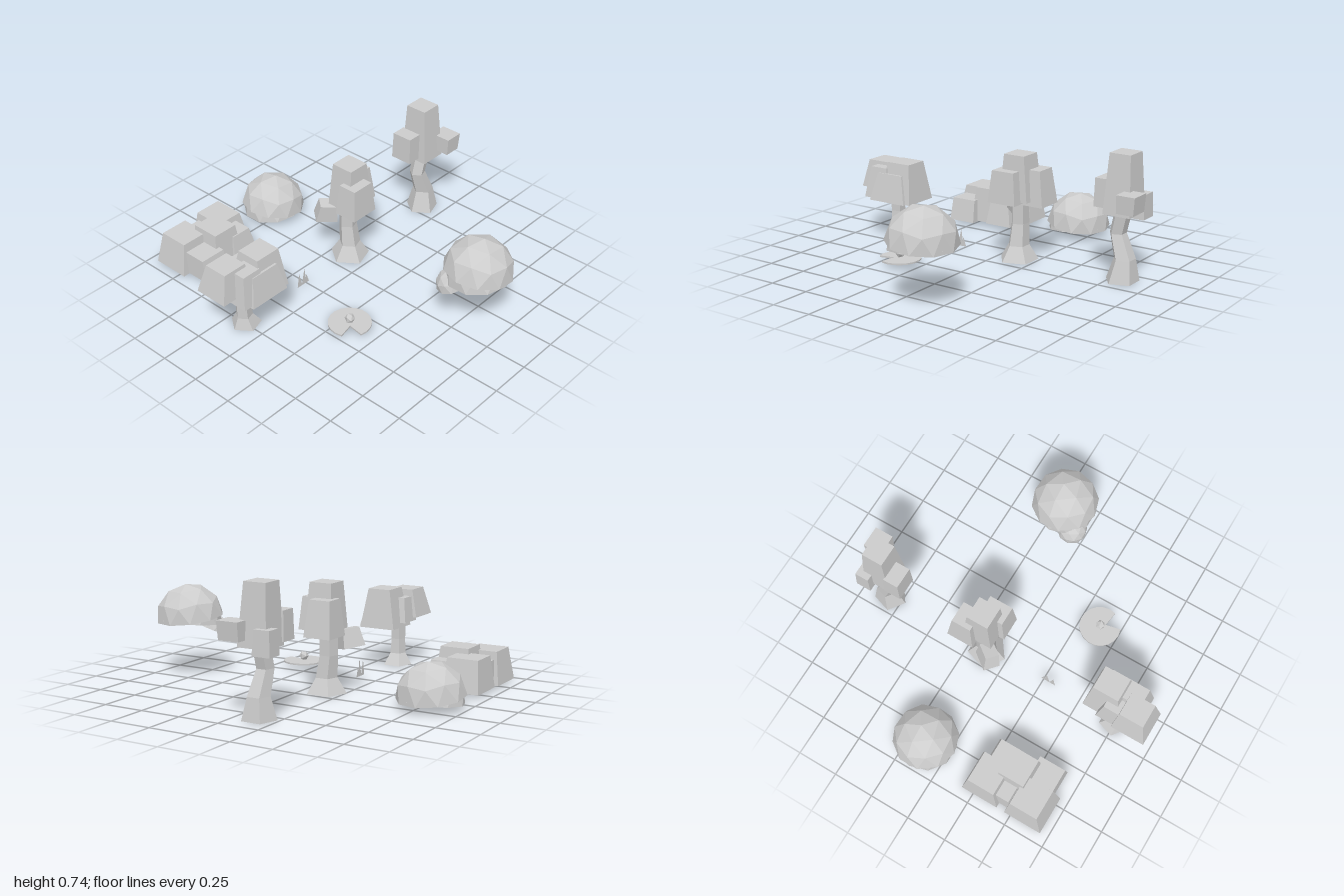
import * as THREE from 'three';

const mat = new THREE.MeshStandardMaterial({ color: 0xcccccc, flatShading: true, side: THREE.DoubleSide });

function add(parent, name, geometry) {
  const mesh = new THREE.Mesh(geometry, mat);
  mesh.name = name;
  parent.add(mesh);
  return mesh;
}

// Tapered block, open below: bottom and top rectangles (x0, x1, z0, z1) and heights
function block([bottom, top, y0, y1]) {
  const geo = new THREE.BoxGeometry(1, 1, 1);
  const index = Array.from(geo.index.array);
  index.splice(18, 6);
  geo.setIndex(index);
  geo.clearGroups();
  const p = geo.attributes.position;
  for (let i = 0; i < p.count; i++) {
    const up = p.getY(i) > 0;
    const r = up ? top : bottom;
    p.setXYZ(i, p.getX(i) < 0 ? r[0] : r[1], up ? y1 : y0, p.getZ(i) < 0 ? r[2] : r[3]);
  }
  geo.computeVertexNormals();
  return geo;
}

// Five-sided bent open trunk through rings of [x, y, z, radius]
function trunk(rings) {
  const geo = new THREE.CylinderGeometry(1, 1, 1, 5, rings.length - 1, true);
  const p = geo.attributes.position;
  for (let i = 0; i < p.count; i++) {
    const [x, y, z, r] = rings[Math.round((p.getY(i) + 0.5) * (rings.length - 1))];
    p.setXYZ(i, x + p.getX(i) * r, y, z + p.getZ(i) * r);
  }
  geo.computeVertexNormals();
  return geo;
}

// Open faceted half shell: the upper triangles of an icosphere with a vertex on top
function dome(r) {
  const ico = new THREE.IcosahedronGeometry(r, 1);
  ico.rotateZ(Math.atan(2 / (1 + Math.sqrt(5))));
  const a = ico.attributes.position.array;
  const kept = [];
  for (let i = 0; i < a.length; i += 9) {
    if (a[i + 1] + a[i + 4] + a[i + 7] > 0) kept.push(...a.slice(i, i + 9));
  }
  const geo = new THREE.BufferGeometry();
  geo.setAttribute('position', new THREE.Float32BufferAttribute(kept, 3));
  geo.computeVertexNormals();
  return geo;
}

// Round bush: two overlapping shells tilted opposite ways
function roundBush(name, r, x, y, z) {
  const g = new THREE.Group();
  g.name = name;
  g.position.set(x, y, z);
  const upper = add(g, 'upperShell', dome(r));
  upper.rotation.set(-0.12, 0, -0.06);
  const lower = add(g, 'lowerShell', dome(r * 0.95));
  lower.position.y = -0.025;
  lower.rotation.set(0.08, 0.3, 0.04);
  return g;
}

function tree(name, rings, blocks) {
  const g = new THREE.Group();
  g.name = name;
  add(g, 'trunk', trunk(rings));
  for (const b of blocks) add(g, 'foliageBlock', block(b));
  return g;
}

export function createModel() {
  const model = new THREE.Group();
  model.name = 'garden';

  model.add(tree('frontTree', [
    [-0.14, 0, 0.74, 0.09], [-0.135, 0.07, 0.755, 0.05], [-0.135, 0.16, 0.76, 0.045], [-0.13, 0.32, 0.765, 0.05],
  ], [
    [[-0.21, 0.02, 0.55, 0.78], [-0.165, -0.02, 0.58, 0.74], 0.25, 0.49],
    [[-0.26, -0.05, 0.76, 0.97], [-0.22, -0.075, 0.78, 0.93], 0.3, 0.47],
    [[-0.14, 0.04, 0.58, 0.84], [-0.11, 0.005, 0.62, 0.8], 0.25, 0.42],
    [[-0.15, 0.025, 0.72, 0.89], [-0.12, -0.005, 0.74, 0.86], 0.26, 0.45],
    [[-0.24, -0.12, 0.65, 0.8], [-0.215, -0.13, 0.68, 0.78], 0.28, 0.43],
  ]));

  model.add(tree('middleTree', [
    [-0.14, 0, -0.135, 0.12], [-0.14, 0.09, -0.135, 0.065], [-0.155, 0.22, -0.135, 0.055], [-0.15, 0.42, -0.135, 0.055],
  ], [
    [[-0.23, -0.06, -0.24, -0.05], [-0.215, -0.075, -0.21, -0.075], 0.37, 0.64],
    [[-0.27, -0.1, -0.32, -0.15], [-0.25, -0.12, -0.29, -0.17], 0.345, 0.555],
    [[-0.14, 0.005, -0.2, -0.015], [-0.125, -0.01, -0.18, -0.035], 0.36, 0.55],
  ]));
  // Small turned block on the side of the middle tree
  const side = add(model, 'sideFoliage', block([[-0.065, 0.065, -0.05, 0.05], [-0.05, 0.05, -0.04, 0.04], -0.05, 0.06]));
  side.position.set(-0.25, 0.31, -0.055);
  side.rotation.set(0, 0.9, -0.2, 'ZYX');

  model.add(tree('backTree', [
    [-0.14, 0, -0.825, 0.1], [-0.145, 0.13, -0.835, 0.065], [-0.155, 0.27, -0.785, 0.05], [-0.15, 0.42, -0.82, 0.052],
  ], [
    [[-0.24, -0.06, -0.905, -0.735], [-0.225, -0.09, -0.885, -0.755], 0.39, 0.735],
    [[-0.25, -0.11, -0.755, -0.65], [-0.245, -0.115, -0.75, -0.655], 0.41, 0.575],
    [[-0.28, -0.17, -0.935, -0.84], [-0.275, -0.18, -0.93, -0.845], 0.36, 0.5],
    [[-0.11, 0.015, -0.965, -0.86], [-0.11, 0.02, -0.975, -0.86], 0.43, 0.535],
  ]));

  // Low bush of clustered blocks
  const bush = new THREE.Group();
  bush.name = 'blockBush';
  model.add(bush);
  for (const b of [
    [[-0.94, -0.7, 0.175, 0.41], [-0.92, -0.73, 0.21, 0.38], 0.015, 0.205],
    [[-0.94, -0.705, 0.46, 0.7], [-0.915, -0.73, 0.485, 0.66], 0.01, 0.205],
    [[-0.82, -0.6, 0.32, 0.53], [-0.8, -0.625, 0.345, 0.505], 0.02, 0.235],
    [[-0.75, -0.58, 0.22, 0.4], [-0.735, -0.61, 0.25, 0.38], 0.02, 0.17],
    [[-0.74, -0.55, 0.48, 0.66], [-0.72, -0.58, 0.49, 0.655], 0.015, 0.155],
    [[-0.91, -0.78, 0.36, 0.49], [-0.905, -0.79, 0.38, 0.47], 0.02, 0.16],
  ]) add(bush, 'bushBlock', block(b));

  // Rounded bushes, one with a small tilted lobe beneath
  model.add(roundBush('roundBush', 0.197, -0.807, 0.065, -0.15));
  model.add(roundBush('raisedBush', 0.203, 0.8, 0.35, -0.15));
  const lobe = add(model, 'smallLobe', dome(0.092));
  lobe.position.set(0.705, 0.267, -0.045);
  lobe.rotation.set(0.28, 0, 0.25);

  // Notched water leaf with a bud at its centre
  const leaf = new THREE.Shape();
  leaf.moveTo(0.025, -0.025);
  for (let i = 0; i <= 16; i++) {
    const a = THREE.MathUtils.degToRad(-18 + (i / 16) * 309);
    leaf.lineTo(0.125 * Math.cos(a), 0.125 * Math.sin(a));
  }
  const pad = add(model, 'waterLeaf', new THREE.ExtrudeGeometry(leaf, { depth: 0.01, bevelEnabled: false }));
  pad.rotation.x = -Math.PI / 2;
  pad.position.set(0.325, 0.03, 0.38);
  add(model, 'bud', new THREE.IcosahedronGeometry(0.03, 0)).position.set(0.325, 0.066, 0.38);

  // Grass tuft of flat blades: base start, base end, tip (z), tip height
  const tuft = new THREE.Group();
  tuft.name = 'grassTuft';
  tuft.position.x = -0.13;
  tuft.rotation.y = -Math.PI / 2;
  model.add(tuft);
  for (const [a, b, tip, h] of [[0.235, 0.26, 0.255, 0.075], [0.255, 0.295, 0.27, 0.12], [0.29, 0.33, 0.315, 0.105]]) {
    const blade = new THREE.Shape([new THREE.Vector2(a, 0.01), new THREE.Vector2(b, 0.01), new THREE.Vector2(tip, h)]);
    add(tuft, 'grassBlade', new THREE.ShapeGeometry(blade));
  }
  return model;
}
